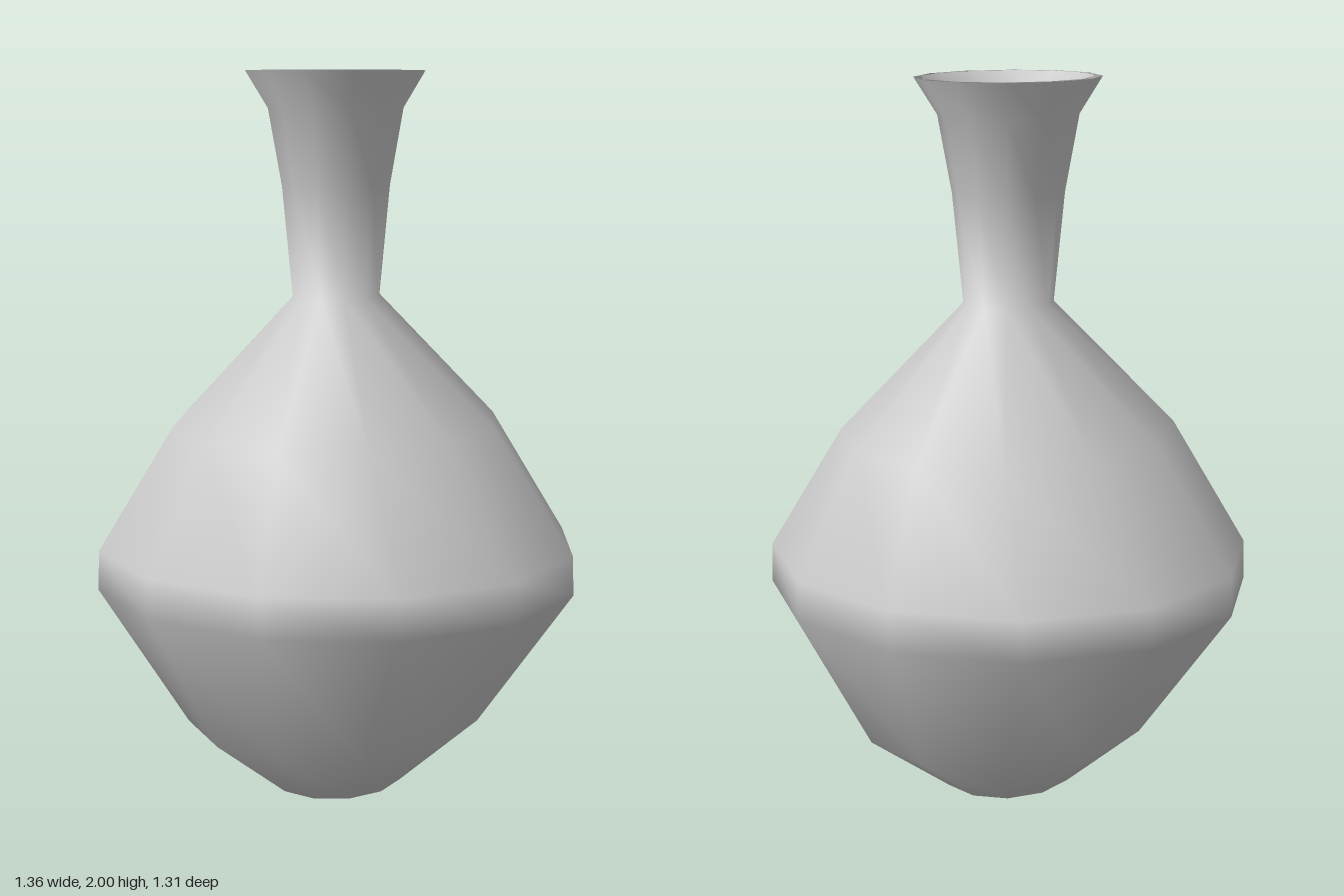
import * as THREE from 'three';
import { mergeVertices } from 'three/addons/utils/BufferGeometryUtils.js';

const SIDES = 12;

// Twelve-sided skin through oval rings [half width x, half depth z, height y]
function ovalLathe(rings) {
  const points = rings.map(([rx, , y]) => new THREE.Vector2(rx, y));
  let geometry = new THREE.LatheGeometry(points, SIDES);
  const position = geometry.attributes.position;
  for (let i = 0; i < position.count; i++) {
    const [rx, rz] = rings[i % rings.length];
    if (rx > 0) position.setZ(i, position.getZ(i) * rz / rx);
  }
  // Weld the seam and poles so the shading is smooth all round
  geometry.deleteAttribute('uv');
  geometry.deleteAttribute('normal');
  geometry = mergeVertices(geometry, 1e-4);
  geometry.computeVertexNormals();
  return geometry;
}

export function createModel() {
  const group = new THREE.Group();
  group.name = 'vase';
  const material = new THREE.MeshStandardMaterial({ color: 0xcccccc });

  const rings = [
    // Foot and belly
    [0, 0, 0],
    [0.19, 0.215, 0],
    [0.415, 0.485, 0.2],
    [0.68, 0.657, 0.585],
    [0.676, 0.655, 0.695],
    [0.45, 0.515, 1.04],
    // Neck and flared lip
    [0.12, 0.14, 1.39],
    [0.148, 0.172, 1.69],
    [0.185, 0.213, 1.9],
    [0.245, 0.283, 2],
    // Inside of the lip and neck, closed at the bottom of the neck
    [0.222, 0.26, 2],
    [0.165, 0.193, 1.9],
    [0.13, 0.152, 1.69],
    [0.1, 0.12, 1.4],
    [0, 0, 1.37],
  ];

  const vase = new THREE.Mesh(ovalLathe(rings), material);
  vase.name = 'vaseBody';
  group.add(vase);
  return group;
}
